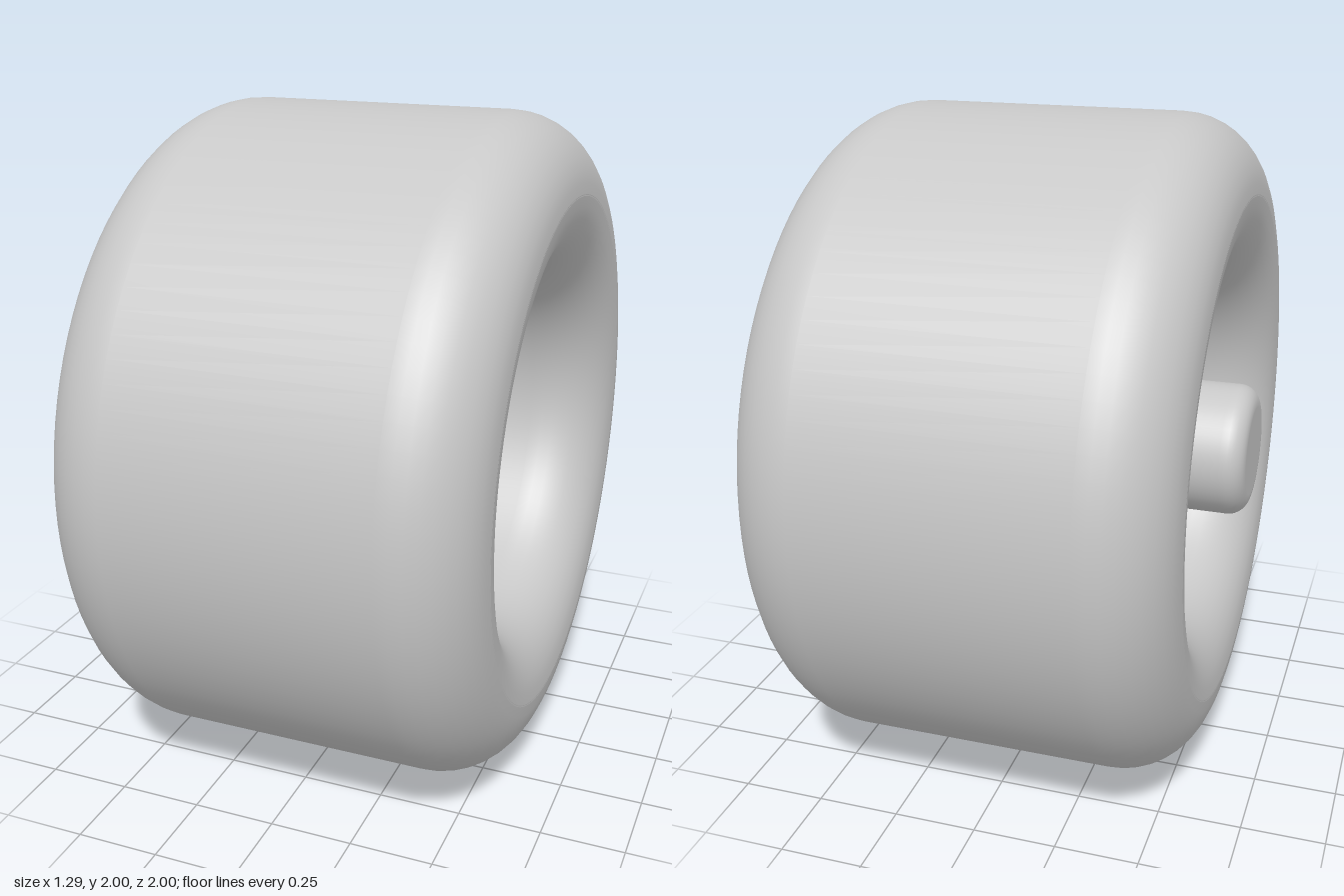
import * as THREE from 'three';

const SEG = 96;

// Points along a quarter (or other) arc; x is radius, y is position along the axle
function arc(cx, cy, r, from, to, n = 10) {
  const pts = [];
  for (let i = 0; i <= n; i++) {
    const a = from + (to - from) * i / n;
    pts.push(new THREE.Vector2(Math.max(0, cx + r * Math.cos(a)), cy + r * Math.sin(a)));
  }
  return pts;
}

export function createModel() {
  const model = new THREE.Group();
  model.name = 'wheel';
  const grey = new THREE.MeshStandardMaterial({ color: 0xc8c8c8 });
  grey.name = 'plain grey';

  // Everything is turned about the axle, then laid along x
  const axle = new THREE.Group();
  axle.name = 'wheelAssembly';
  axle.rotation.z = -Math.PI / 2;
  axle.position.y = 1;
  model.add(axle);

  const add = (name, geometry) => {
    const mesh = new THREE.Mesh(geometry, grey);
    mesh.name = name;
    axle.add(mesh);
    return mesh;
  };
  const v = (x, y) => new THREE.Vector2(x, y);
  const H = Math.PI / 2;

  // Tyre: broad flat tread, rounded shoulders and rounded inner lips
  const lo = -0.6, hi = 0.645, R = 0.235;
  add('tyre', new THREE.LatheGeometry([
    v(0.535, 0),
    ...arc(0.77, lo + R, R, -2 * H, -H),
    ...arc(0.765, lo + R, R, -H, 0),
    ...arc(0.765, hi - R, R, 0, H),
    ...arc(0.77, hi - R, R, H, 2 * H),
    v(0.535, 0),
  ], SEG));

  // Hub core filling the tyre bore
  const core = add('hubCore', new THREE.CylinderGeometry(0.537, 0.537, 0.4, SEG));
  core.position.y = 0;

  // Inner plate, set back from the lip
  const plate = add('backPlate', new THREE.CylinderGeometry(0.515, 0.515, 0.3, SEG));
  plate.position.y = -0.23;

  // Rounded hub cap on the outer side
  add('hubCap', new THREE.LatheGeometry([
    v(0.51, 0.1), v(0.51, 0.2),
    ...arc(0.36, 0.21, 0.15, 0, H),
    v(0.355, 0.36), v(0, 0.36),
  ], SEG));

  // Axle peg with a softened end
  add('axlePeg', new THREE.LatheGeometry([
    v(0, -0.65), v(0.135, -0.65),
    ...arc(0.14, -0.59, 0.06, -H, 0, 8),
    v(0.2, -0.58), v(0.2, -0.3),
  ], 48));

  return model;
}
